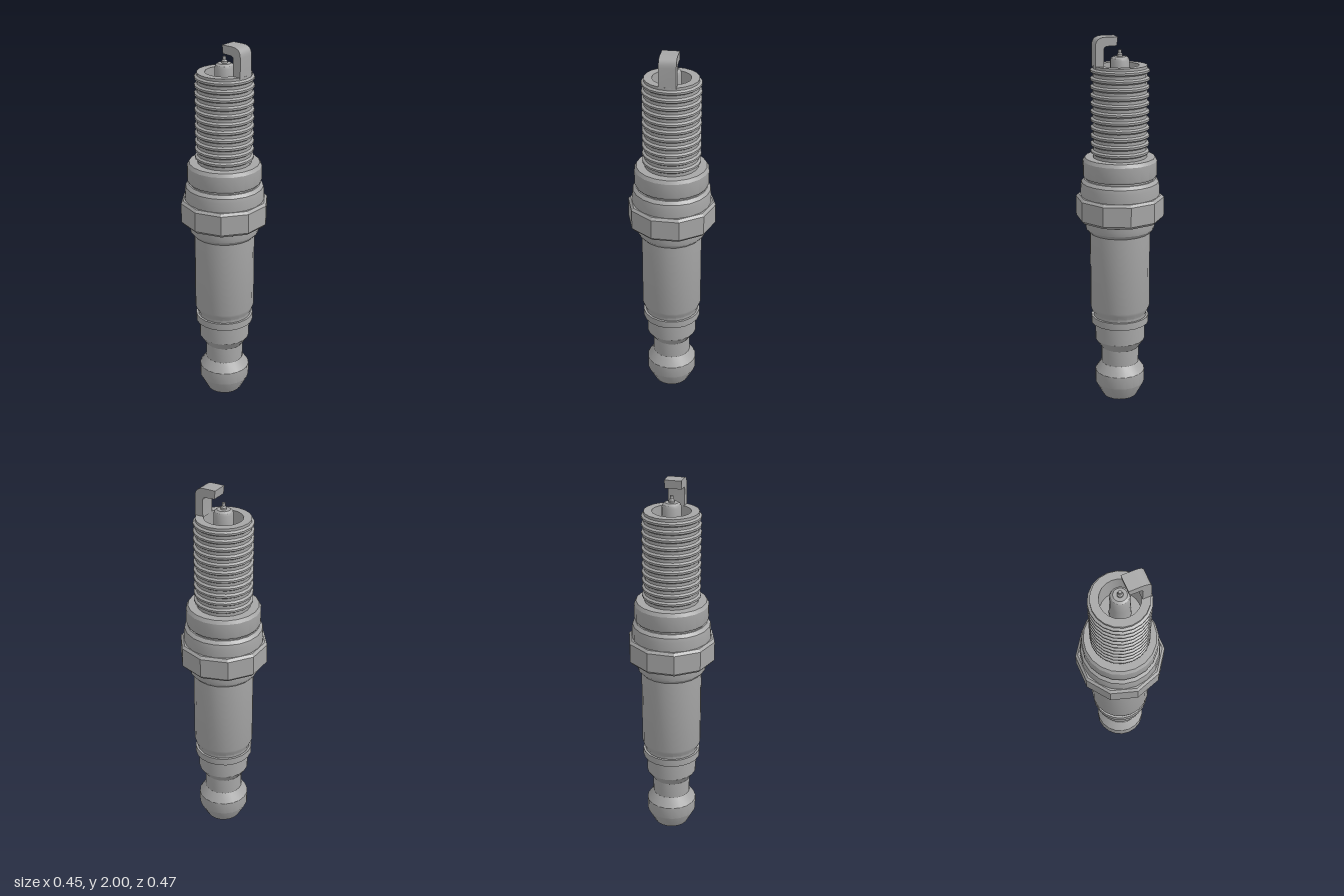
import * as THREE from 'three';
import { toCreasedNormals } from 'three/addons/utils/BufferGeometryUtils.js';

const steel = new THREE.MeshStandardMaterial({ color: 0xa6a6a6 });
steel.name = 'steel grey';

function add(group, name, geometry, crease = 0.5) {
  const mesh = new THREE.Mesh(toCreasedNormals(geometry, crease), steel);
  mesh.name = name;
  group.add(mesh);
}

// Profile points are [radius, height], running up the outside
function turned(group, name, profile, sides = 20, crease = 0.5) {
  const points = profile.map(([r, y]) => new THREE.Vector2(r, y));
  add(group, name, new THREE.LatheGeometry(points, sides), crease);
}

export function createModel() {
  const plug = new THREE.Group();
  plug.name = 'sparkPlug';

  // Hollow terminal knob with a narrow neck
  turned(plug, 'terminal', [
    [0, 0.1], [0.045, 0.09], [0.065, 0.06], [0.068, 0], [0.095, 0],
    [0.137, 0.08], [0.137, 0.15], [0.103, 0.2], [0.103, 0.29],
    [0.137, 0.34], [0.137, 0.45], [0, 0.45],
  ]);

  turned(plug, 'clipRing', [
    [0, 0.44], [0.157, 0.44], [0.157, 0.48], [0, 0.48],
  ]);

  // Long smooth sleeve
  turned(plug, 'sleeve', [
    [0, 0.47], [0.145, 0.47], [0.145, 0.495], [0.158, 0.52],
    [0.162, 0.535], [0.162, 0.965], [0, 0.965],
  ]);

  turned(plug, 'lowerCollar', [
    [0, 0.96], [0.165, 0.96], [0.183, 0.98], [0.187, 1.0], [0.187, 1.04], [0, 1.04],
  ]);

  // Ten-sided wrench nut with corners on the z axis
  turned(plug, 'wrenchNut', [
    [0, 1.033], [0.222, 1.033], [0.235, 1.047], [0.235, 1.152],
    [0.222, 1.165], [0, 1.165],
  ], 10, 0.2);

  turned(plug, 'upperCollar', [
    [0, 1.16], [0.21, 1.16], [0.21, 1.215], [0.206, 1.238],
    [0.19, 1.254], [0, 1.254],
  ]);

  // Gasket seat with a groove below it
  turned(plug, 'gasketSeat', [
    [0, 1.25], [0.182, 1.25], [0.182, 1.262], [0.192, 1.265],
    [0.197, 1.275], [0.197, 1.352], [0.186, 1.37], [0, 1.37],
  ]);

  // Threaded shell: eleven ridges, then a rim and an open recess
  const thread = [[0, 1.36], [0.142, 1.36]];
  for (let i = 0; i < 11; i++) {
    const y = 1.4 + i * 0.0425;
    thread.push([0.142, y - 0.013], [0.154, y - 0.005], [0.154, y + 0.005], [0.142, y + 0.013]);
  }
  thread.push([0.142, 1.852], [0.1, 1.852], [0.1, 1.7], [0, 1.7]);
  turned(plug, 'threadedShell', thread);

  // Insulator nose and stepped centre electrode
  turned(plug, 'insulator', [
    [0.055, 1.69], [0.05, 1.8], [0.05, 1.875], [0.045, 1.888],
    [0.034, 1.896], [0, 1.896],
  ]);
  turned(plug, 'centreElectrode', [
    [0.015, 1.89], [0.015, 1.906], [0.009, 1.914], [0.009, 1.93], [0, 1.93],
  ], 12);

  // Bent strap reaching over the centre electrode
  const strap = new THREE.Shape();
  strap.moveTo(0.094, 1.845);
  strap.lineTo(0.139, 1.845);
  strap.lineTo(0.139, 1.95);
  strap.quadraticCurveTo(0.139, 2.0, 0.085, 2.0);
  strap.lineTo(0.022, 2.0);
  strap.lineTo(0.027, 1.956);
  strap.lineTo(0.078, 1.954);
  strap.quadraticCurveTo(0.094, 1.952, 0.094, 1.935);
  strap.closePath();
  const bent = new THREE.ExtrudeGeometry(strap, { depth: 0.088, bevelEnabled: false, curveSegments: 6 });
  bent.translate(0, 0, -0.044);
  add(plug, 'groundElectrode', bent);

  return plug;
}
